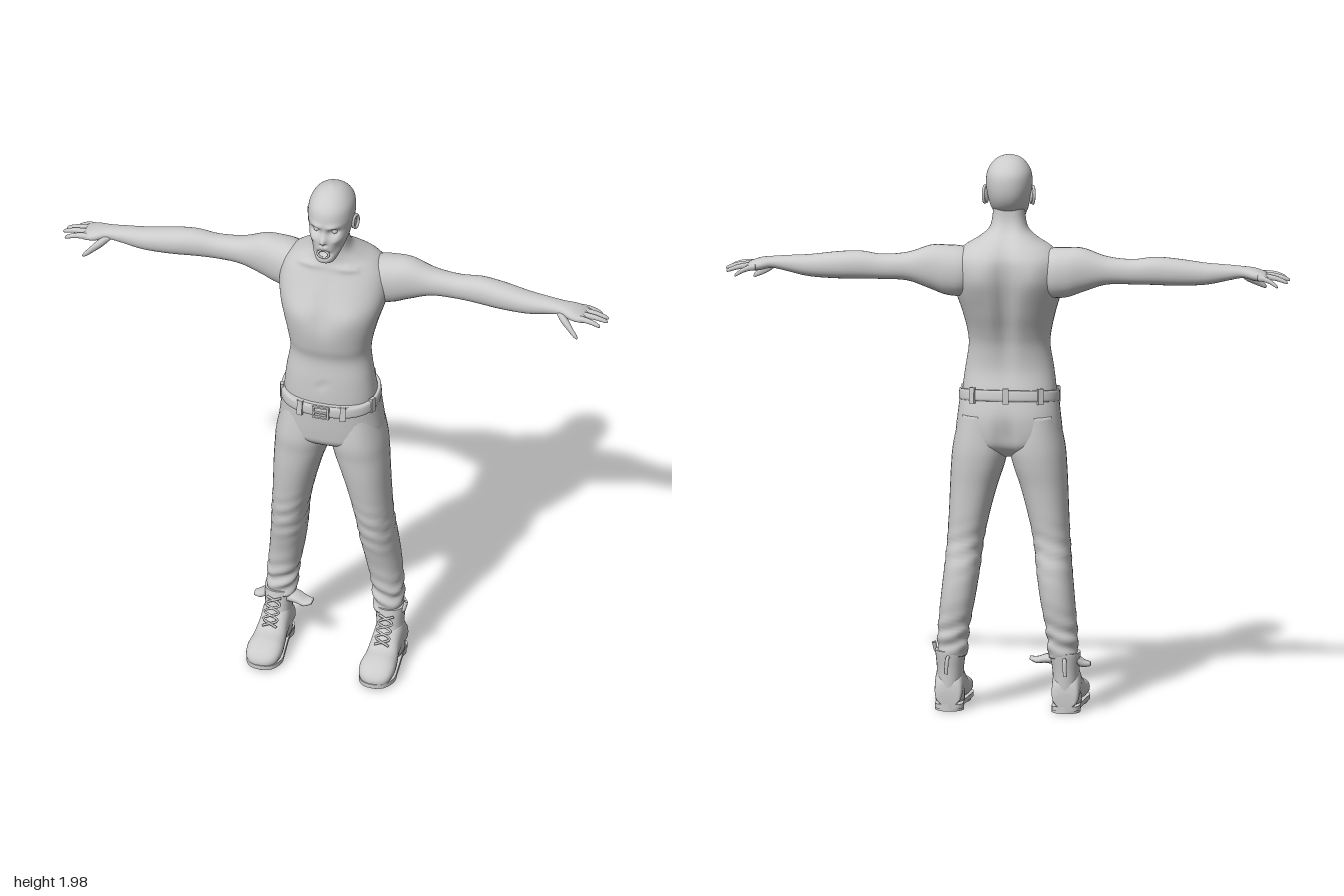
import * as THREE from 'three';

const material = new THREE.MeshStandardMaterial({ color: 0xcccccc, side: THREE.DoubleSide });
const alongY = (t, a, b) => [a, t, b];
const alongX = (t, a, b) => [t, a, b];
const alongZ = (t, a, b) => [a, b, t];
const bump = (u, v, su, sv) => Math.exp(-((u / su) ** 2) - (v / sv) ** 2);

// Smooth interpolation between cross-section rows
function sampleRows(rows, steps) {
  const out = [], last = rows.length - 1;
  for (let i = 0; i <= last * steps; i++) {
    const k = Math.min(Math.floor(i / steps), last - 1), f = i / steps - k;
    const p = [k - 1, k, k + 1, k + 2].map(j => rows[Math.min(last, Math.max(0, j))]);
    out.push(p[0].map((_, c) => {
      const [p0, p1, p2, p3] = p.map(r => r[c]);
      return p1 + 0.5 * f * (p2 - p0 + f * (2 * p0 - 5 * p1 + 4 * p2 - p3 + f * (3 * (p1 - p2) + p3 - p0)));
    }));
  }
  return out;
}

// Closed skin through rows of [position, aMin, aMax, bMin, bMax]; side -1 mirrors it in x
function loft(group, name, rows, { axis = alongY, segments = 28, steps = 5, power = 2.2, side = 1, warp } = {}) {
  const pos = [], index = [], rings = sampleRows(rows, steps);
  const add = (t, a, b) => {
    const v = new THREE.Vector3(...axis(t, a, b));
    if (warp) warp(v);
    pos.push(v.x * side, v.y, v.z);
  };
  const curve = c => Math.sign(c) * Math.abs(c) ** (2 / power);
  for (const [t, a0, a1, b0, b1] of rings) {
    for (let j = 0; j < segments; j++) {
      const q = (j / segments) * Math.PI * 2;
      add(t, (a0 + a1) / 2 + (a1 - a0) / 2 * curve(Math.cos(q)), (b0 + b1) / 2 + (b1 - b0) / 2 * curve(Math.sin(q)));
    }
  }
  const n = rings.length;
  for (let i = 0; i < n - 1; i++) for (let j = 0; j < segments; j++) {
    const a = i * segments + j, b = i * segments + (j + 1) % segments;
    index.push(a, a + segments, b, b, a + segments, b + segments);
  }
  for (const i of [0, n - 1]) {
    const [t, a0, a1, b0, b1] = rings[i], c = pos.length / 3;
    add(t, (a0 + a1) / 2, (b0 + b1) / 2);
    for (let j = 0; j < segments; j++) {
      const p = i * segments + j, q = i * segments + (j + 1) % segments;
      index.push(...(i ? [c, q, p] : [c, p, q]));
    }
  }
  // Turn faces outward by the sign of the enclosed volume
  let volume = 0;
  const point = i => new THREE.Vector3().fromArray(pos, i * 3);
  for (let i = 0; i < index.length; i += 3) volume += point(index[i]).dot(point(index[i + 1]).cross(point(index[i + 2])));
  if (volume < 0) index.reverse();
  const g = new THREE.BufferGeometry();
  g.setAttribute('position', new THREE.Float32BufferAttribute(pos, 3));
  g.setIndex(index);
  g.computeVertexNormals();
  return put(group, name, g);
}

function put(group, name, geometry, position = [0, 0, 0], rotation = [0, 0, 0], scale = [1, 1, 1]) {
  const mesh = new THREE.Mesh(geometry, material);
  mesh.name = name;
  mesh.position.set(...position);
  mesh.rotation.set(...rotation);
  mesh.scale.set(...scale);
  group.add(mesh);
  return mesh;
}
const body = ([y, w, front, back]) => [y, -w, w, back, front];
const tube = (points, r) => new THREE.TubeGeometry(new THREE.CatmullRomCurve3(points.map(p => new THREE.Vector3(...p))), 32, r, 6);

function buildTorso(g) {
  loft(g, 'torso', [[1.08, .165, .105, -.125], [1.14, .165, .108, -.118], [1.22, .155, .105, -.1], [1.3, .143, .1, -.106],
    [1.36, .149, .115, -.125], [1.43, .166, .122, -.155], [1.5, .187, .108, -.178], [1.56, .196, .085, -.19], [1.62, .187, .058, -.188],
    [1.66, .155, .042, -.168], [1.69, .105, .036, -.14], [1.72, .07, .036, -.105], [1.76, .058, .035, -.085], [1.82, .055, .03, -.08]].map(body),
  { segments: 64, power: 2.35, warp: v => {
    if (v.z < -.03) {
      v.z += .028 * bump(v.x, v.y - 1.48, .03, .2); // spine groove
      v.z -= .01 * bump(Math.abs(v.x) - .1, v.y - 1.56, .045, .07); // shoulder blades
    } else if (v.z > .02) {
      v.z -= .008 * bump(v.x, v.y - 1.5, .02, .1); // breastbone
      v.z += .01 * bump(Math.abs(v.x) - .09, v.y - 1.49, .06, .05); // chest
      v.z += .008 * bump(Math.abs(v.x) - .08, v.y - 1.665, .06, .012); // collarbones
      v.z -= .007 * bump(v.x, v.y - 1.2, .012, .012); // navel
    }
  } });
}

function buildHead(g) {
  loft(g, 'head', [[1.713, .02, .082, .045], [1.722, .034, .095, .02], [1.745, .047, .1, -.02], [1.775, .06, .1, -.06], [1.805, .069, .098, -.095],
    [1.84, .076, .092, -.115], [1.88, .081, .09, -.122], [1.92, .077, .08, -.117], [1.95, .061, .055, -.094],
    [1.97, .038, .026, -.062], [1.98, .008, -.006, -.028]].map(body),
  { segments: 96, steps: 8, power: 2.15, warp: v => {
    if (v.z < .02) return;
    const x = Math.abs(v.x), y = v.y;
    v.z += .016 * bump(x, y - 1.815, .012, .02); // nose
    v.z += .008 * bump(x - .03, y - 1.868, .022, .009); // brow
    v.z += .006 * bump(x - .048, y - 1.812, .016, .012); // cheekbone
    v.z -= .021 * bump(x - .032, y - 1.843, .018, .013); // eye sockets
    v.z -= .012 * bump(x - .006, y - 1.797, .006, .006); // nostrils
    v.z -= .01 * bump(x - .048, y - 1.775, .014, .02); // hollow cheeks
    v.z -= .035 * bump(x, y - 1.757, .021, .012); // open mouth
  } });
  put(g, 'lips', new THREE.TorusGeometry(.02, .0045, 8, 28), [0, 1.757, .094], [-.05, 0, 0], [1, .72, 1]);
  for (const s of [1, -1]) {
    put(g, 'eye', new THREE.SphereGeometry(.012, 16, 12), [s * .032, 1.843, .061]);
    put(g, 'ear', new THREE.SphereGeometry(.02, 16, 12), [s * .08, 1.835, -.02], [.2, s * -.25, s * -.12], [.3, 1.45, .85]);
    put(g, 'earRim', new THREE.TorusGeometry(.02, .005, 8, 20), [s * .085, 1.838, -.022], [.15, Math.PI / 2 - s * .3, 0], [.85, 1.4, 1]);
  }
}

function buildArm(g, side) {
  const oval = ([x, y, z, ry, rz]) => [x, y - ry, y + ry, z - rz, z + rz];
  loft(g, 'arm', [[.08, 1.585, -.07, .05, .05], [.15, 1.575, -.08, .085, .078], [.21, 1.578, -.088, .088, .073], [.27, 1.588, -.09, .077, .061],
    [.35, 1.588, -.09, .05, .047], [.44, 1.585, -.09, .044, .041], [.52, 1.589, -.086, .049, .045], [.6, 1.585, -.08, .047, .047],
    [.7, 1.58, -.072, .038, .042], [.78, 1.585, -.067, .027, .035], [.83, 1.587, -.064, .02, .034], [.87, 1.58, -.062, .021, .046],
    [.905, 1.573, -.064, .016, .047], [.92, 1.57, -.065, .008, .042]].map(oval), { axis: alongX, side });
  // Knuckle z, tip x, tip z, tip y for each finger
  for (const [z, tipX, tipZ, tipY] of [[-.1, .958, -.122, 1.545], [-.078, .99, -.088, 1.555], [-.053, .995, -.058, 1.56], [-.029, .978, -.02, 1.562]]) {
    const rows = [0, .3, .6, .85, .97, 1].map((f, i) => oval([.885 + (tipX - .885) * f, 1.575 + (tipY - 1.575) * f + .008 * Math.sin(f * 3),
      z + (tipZ - z) * f, ...Array(2).fill([.012, .0105, .009, .0075, .005, .001][i])]));
    loft(g, 'finger', rows, { axis: alongX, side, segments: 10, steps: 3 });
  }
  loft(g, 'thumb', [[.815, 1.58, -.045, .008, .01], [.84, 1.567, -.03, .018, .02], [.865, 1.55, -.012, .017, .014],
    [.885, 1.535, .003, .013, .01], [.9, 1.524, .01, .008, .007], [.905, 1.52, .012, .001, .001]].map(oval), { axis: alongX, side, segments: 12, steps: 4 });
}

function buildTrousers(g) {
  loft(g, 'trouserSeat', [[1.13, .172, .114, -.127], [1.06, .18, .11, -.143], [.99, .187, .104, -.142], [.95, .178, .095, -.13],
    [.92, .11, .06, -.095], [.905, .03, .02, -.06]].map(body), { segments: 48, power: 2.4, warp: v => {
    if (v.z < -.05) v.z += .022 * bump(v.x, v.y - .98, .025, .07); // seat cleft
  } });
  for (const side of [1, -1]) {
    loft(g, 'trouserLeg', [[1.06, .015, .172, -.13, .09], [.95, .002, .196, -.138, .1], [.88, .014, .203, -.135, .094], [.8, .04, .207, -.126, .088],
      [.7, .067, .211, -.12, .075], [.6, .088, .217, -.116, .06], [.5, .1, .226, -.135, .04], [.4, .115, .236, -.139, .013],
      [.3, .134, .245, -.126, -.003], [.24, .14, .247, -.12, -.006], [.195, .143, .247, -.114, -.004]],
    { side, segments: 36, steps: 7, warp: v => { // cloth folds at knee and ankle
      const fold = bump(0, v.y - .26, 1, .08) + .6 * bump(0, v.y - .57, 1, .08);
      v.z += .005 * fold * Math.sin(v.y * 105 + v.x * 40);
      v.x += .003 * fold * Math.sin(v.y * 120 + v.z * 50);
    } });
  }
}

function buildBelt(g) {
  const tilt = v => { v.y -= .14 * v.z; };
  loft(g, 'belt', [[1.1, .17, .115, -.128], [1.101, .177, .123, -.136], [1.119, .177, .124, -.135], [1.138, .175, .122, -.131],
    [1.139, .168, .112, -.126]].map(body), { segments: 64, steps: 2, power: 2.4, warp: tilt });
  const box = new THREE.BoxGeometry(.02, .056, .012);
  for (const s of [1, -1]) {
    put(g, 'beltLoop', box, [s * .078, 1.105, .117], [-.1, s * .2, 0]);
    put(g, 'beltLoop', box, [s * .165, 1.115, .045], [0, s * 1.15, 0]);
    put(g, 'beltLoop', box, [s * .12, 1.134, -.112], [.1, s * -.5, 0]);
  }
  put(g, 'beltLoop', box, [0, 1.138, -.137]);
  for (const s of [1, -1]) {
    put(g, 'buckleBar', new THREE.BoxGeometry(.058, .006, .009), [0, 1.103 + s * .021, .127]);
    put(g, 'buckleBar', new THREE.BoxGeometry(.007, .048, .009), [s * .027, 1.103, .127]);
  }
  put(g, 'bucklePin', new THREE.BoxGeometry(.045, .005, .008), [0, 1.103, .13]);
}

function buildBoot(g, side) {
  loft(g, 'bootShaft', [[.03, .155, .257, -.11, .04], [.1, .157, .253, -.112, .035], [.15, .156, .251, -.113, .012], [.2, .149, .255, -.118, 0],
    [.214, .15, .255, -.118, -.002]], { side });
  loft(g, 'bootFoot', [[-.113, .17, .24, .02, .07], [-.1, .158, .254, .018, .12], [-.04, .155, .257, .018, .17], [.02, .152, .257, .016, .135],
    [.07, .147, .264, .012, .1], [.12, .142, .269, .012, .088], [.16, .15, .262, .012, .07], [.18, .172, .243, .014, .05],
    [.187, .195, .22, .02, .035]], { axis: alongZ, side, power: 2.4 });
  // Sole outline, thickened, with a separate heel
  const outline = [[.205, -.116], [.25, -.1], [.256, -.02], [.266, .07], [.27, .13], [.245, .178], [.205, .19], [.165, .178], [.141, .13],
    [.146, .07], [.157, -.02], [.16, -.1]].map(([x, z]) => new THREE.Vector2(side * x, -z));
  const soleShape = new THREE.Shape(new THREE.SplineCurve([...outline, outline[0]]).getPoints(60));
  put(g, 'sole', new THREE.ExtrudeGeometry(soleShape, { depth: .016, bevelEnabled: false }), [0, .009, 0], [-Math.PI / 2, 0, 0]);
  put(g, 'heel', new THREE.CylinderGeometry(.051, .051, .02, 28), [side * .205, .01, -.065]);
  put(g, 'frontTread', new THREE.CylinderGeometry(.06, .058, .012, 28), [side * .205, .006, .1], [0, 0, 0], [1, 1, 1.35]);
  // Crossed laces down the front
  for (const s of [1, -1]) {
    const points = [0, 1, 2, 3, 4].map(i => [side * .205 + s * (i % 2 ? 1 : -1) * .026, .195 - i * .021, .004 + i * .0155]);
    put(g, 'lace', tube(points, .0045), [0, 0, .002]);
  }
}

function buildFlaps(g) {
  // Loose collar leather on the right boot
  const flap = (name, rows) => loft(g, name, rows, { axis: alongX, segments: 12, steps: 4 });
  flap('innerFlap', [[-.165, .165, .205, -.08, -.01], [-.13, .168, .198, -.07, -.005], [-.1, .165, .187, -.06, 0], [-.075, .175, .188, -.045, -.01]]);
  flap('outerFlap', [[-.245, .165, .205, -.09, -.02], [-.265, .158, .185, -.08, -.02], [-.29, .16, .175, -.06, -.03]]);
  // Pull tabs on the left boot and at both heels
  put(g, 'pullTab', tube([[.24, .19, -.04], [.255, .205, -.04], [.262, .235, -.045]], .008));
  for (const s of [1, -1]) put(g, 'heelTab', tube([[s * .205, .195, -.115], [s * .207, .19, -.135], [s * .21, .14, -.146]], .007));
}

export function createModel() {
  const model = new THREE.Group();
  model.name = 'standingMan';
  const section = (name, build, ...args) => {
    const group = new THREE.Group();
    group.name = name;
    build(group, ...args);
    model.add(group);
  };
  section('torsoAndNeck', buildTorso);
  section('headAndFace', buildHead);
  section('trousers', buildTrousers);
  section('beltAssembly', buildBelt);
  for (const [label, side] of [['left', 1], ['right', -1]]) {
    section(label + 'Arm', buildArm, side);
    section(label + 'Boot', buildBoot, side);
  }
  section('bootFlaps', buildFlaps);
  return model;
}
